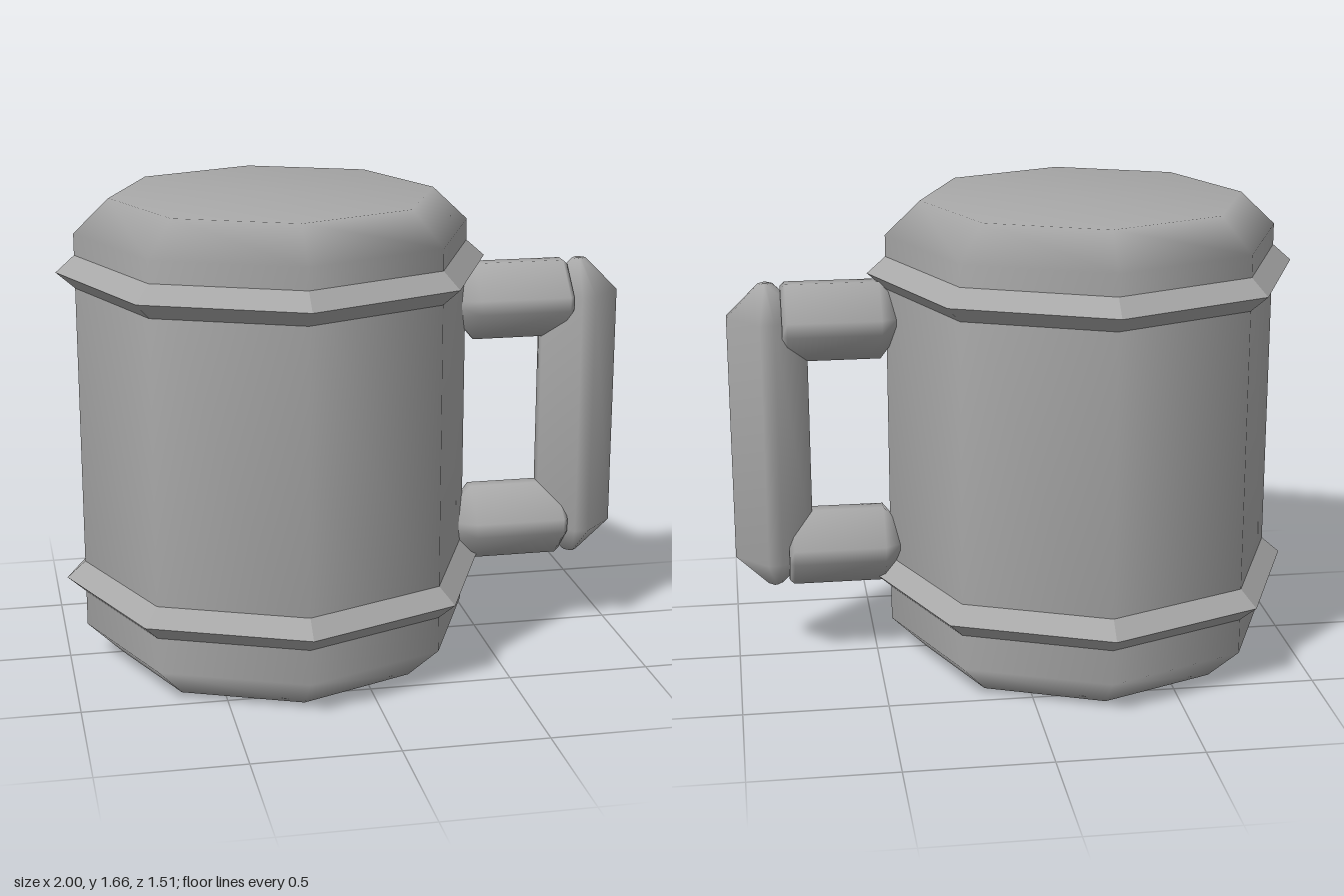
import * as THREE from 'three';

const BODY_X = -0.245;
const HANDLE_X = 0.862;

const pts = (list) => list.map(([r, y]) => new THREE.Vector2(r, y));

// Bar with a bevelled diamond cross-section: eight lathe sides pulled in pairs towards the axes
function diamondBar(profile) {
  const geo = new THREE.LatheGeometry(pts(profile), 8, Math.PI / 8);
  const pos = geo.attributes.position;
  const quarter = Math.PI / 2;
  for (let i = 0; i < pos.count; i++) {
    const x = pos.getX(i), z = pos.getZ(i), r = Math.hypot(x, z);
    const a = Math.atan2(z, x);
    const axis = Math.round(a / quarter) * quarter;
    const b = axis + Math.sign(a - axis) * 0.18;
    pos.setX(i, r * Math.cos(b));
    pos.setZ(i, r * Math.sin(b));
  }
  return geo;
}

export function createModel() {
  const group = new THREE.Group();
  const grey = new THREE.MeshStandardMaterial({ color: 0xa8a8a8 });
  grey.name = 'grey';
  const greyFaceted = grey.clone();
  greyFaceted.flatShading = true;

  const add = (name, geo, material, x, y) => {
    const mesh = new THREE.Mesh(geo, material);
    mesh.name = name;
    mesh.position.set(x, y, 0);
    group.add(mesh);
  };

  // Closed octagonal mug body with bevelled ends
  const body = new THREE.LatheGeometry(pts([
    [0, 0], [0.567, 0], [0.69, 0.117], [0.69, 1.543], [0.567, 1.66], [0, 1.66],
  ]), 8);
  add('body', body, grey, BODY_X, 0);

  // Two pointed hoops around the body
  const hoop = new THREE.LatheGeometry(pts([[0.685, -0.062], [0.755, 0], [0.685, 0.062]]), 8);
  add('lowerHoop', hoop, greyFaceted, BODY_X, 0.3);
  add('upperHoop', hoop, greyFaceted, BODY_X, 1.41);

  // Upright handle grip
  const grip = diamondBar([
    [0, 0.28], [0.025, 0.28], [0.14, 0.395], [0.14, 1.27], [0.025, 1.386], [0, 1.386],
  ]);
  add('handleGrip', grip, grey, HANDLE_X, 0);

  // Horizontal arms joining the grip to the body
  const arm = diamondBar([
    [0, 0.41], [0.065, 0.41], [0.14, 0.47], [0.14, 0.795], [0.125, 0.812], [0, 0.812],
  ]).rotateZ(-Math.PI / 2);
  add('lowerHandleArm', arm, grey, 0, 0.418);
  add('upperHandleArm', arm, grey, 0, 1.247);

  return group;
}
